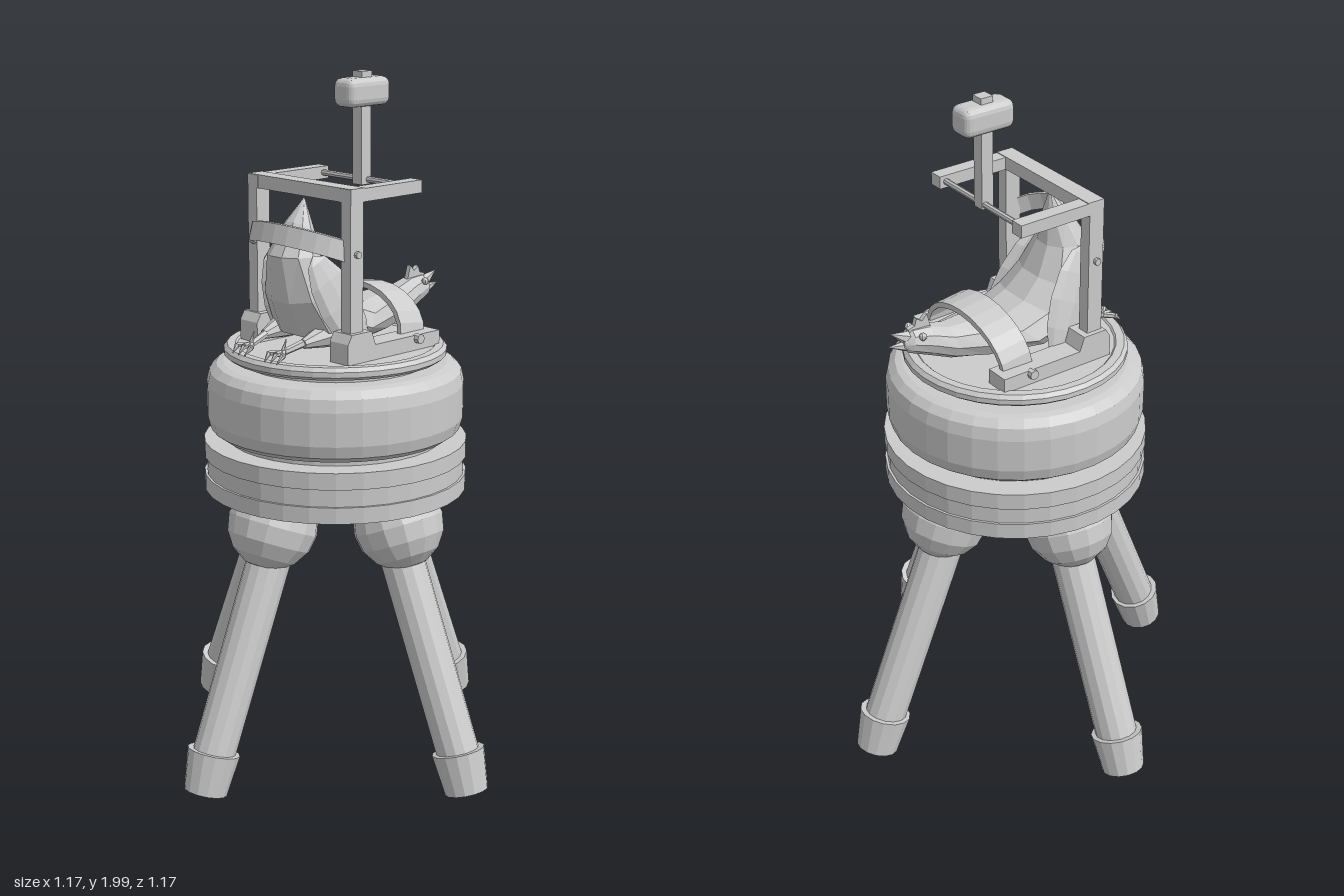
import * as THREE from 'three';
import { RoundedBoxGeometry } from 'three/addons/geometries/RoundedBoxGeometry.js';

const mat = new THREE.MeshStandardMaterial({ color: 0xcccccc, flatShading: true });
const matBoth = new THREE.MeshStandardMaterial({ color: 0xcccccc, flatShading: true, side: THREE.DoubleSide });
const V = (x, y, z) => new THREE.Vector3(x, y, z);

function add(parent, name, geometry, pos = [0, 0, 0], material = mat) {
  const m = new THREE.Mesh(geometry, material);
  m.name = name;
  m.position.set(...pos);
  parent.add(m);
  return m;
}

// Box given by its min and max corners
function box(parent, name, a, b) {
  return add(parent, name, new THREE.BoxGeometry(b[0] - a[0], b[1] - a[1], b[2] - a[2]),
    a.map((v, i) => (v + b[i]) / 2));
}

// Tapered round bar between two points
function bar(parent, name, a, b, ra, rb, sides = 8) {
  const dir = b.clone().sub(a);
  const m = add(parent, name, new THREE.CylinderGeometry(rb, ra, dir.length(), sides), a.clone().lerp(b, 0.5).toArray());
  m.quaternion.setFromUnitVectors(V(0, 1, 0), dir.normalize());
  return m;
}

// Skin over a list of equal-sized rings, with closed ends
function loft(rings) {
  const n = rings[0].length, pos = [], index = [];
  rings.forEach(r => r.forEach(p => pos.push(p.x, p.y, p.z)));
  for (let i = 0; i < rings.length - 1; i++)
    for (let j = 0; j < n; j++) {
      const a = i * n + j, b = i * n + (j + 1) % n;
      index.push(a, b, a + n, b, b + n, a + n);
    }
  const end = (rings.length - 1) * n;
  for (let j = 1; j < n - 1; j++) index.push(0, j + 1, j, end, end + j, end + j + 1);
  const g = new THREE.BufferGeometry();
  g.setAttribute('position', new THREE.Float32BufferAttribute(pos, 3));
  g.setIndex(index);
  g.computeVertexNormals();
  return g;
}

function lathe(parent, name, pts, sides) {
  return add(parent, name, new THREE.LatheGeometry(pts.map(p => new THREE.Vector2(...p)), sides));
}

function makeStool() {
  const g = new THREE.Group();
  g.name = 'stool';
  g.position.z = -0.014;
  g.rotation.y = 0.026;
  lathe(g, 'baseRings', [[0, 0.825], [0.378, 0.825], [0.378, 0.872], [0.371, 0.872], [0.371, 0.922],
    [0.378, 0.922], [0.378, 0.97], [0, 0.97]], 32);
  lathe(g, 'drum', [[0.31, 0.965], [0.31, 0.985], [0.335, 0.988], [0.358, 1.005], [0.368, 1.04], [0.368, 1.135],
    [0.36, 1.17], [0.34, 1.19], [0.32, 1.195], [0, 1.195]], 32);
  lathe(g, 'topPlate', [[0.27, 1.19], [0.27, 1.208], [0.305, 1.21], [0.318, 1.22], [0.318, 1.235],
    [0.308, 1.246], [0.285, 1.246], [0.28, 1.241], [0, 1.241]], 32);
  // Four splayed legs
  for (let i = 0; i < 4; i++) {
    const leg = new THREE.Group();
    leg.name = 'leg';
    leg.rotation.y = i * Math.PI / 2;
    g.add(leg);
    const ball = add(leg, 'legJoint', new THREE.SphereGeometry(0.13, 14, 8), [0, 0.757, 0.25]);
    ball.rotation.x = -0.4;
    bar(leg, 'legPole', V(0, 0.1, 0.502), V(0, 0.72, 0.241), 0.061, 0.063, 14);
    bar(leg, 'footCap', V(0, 0.024, 0.524), V(0, 0.138, 0.489), 0.062, 0.076, 14);
  }
  return g;
}

function makeFrame() {
  const g = new THREE.Group();
  g.name = 'frame';
  for (const s of [-1, 1]) {
    const sideBox = (name, x0, x1, y0, y1, z0, z1) =>
      box(g, name, [Math.min(s * x0, s * x1), y0, z0], [Math.max(s * x0, s * x1), y1, z1]);
    sideBox('post', 0.17, 0.207, 1.25, 1.69, 0.08, 0.128);
    sideBox('topArm', 0.165, 0.207, 1.68, 1.716, -0.145, 0.128);
    // Stepped foot rail under each post
    const shape = new THREE.Shape([[-0.21, 1.242], [0.15, 1.242], [0.15, 1.30], [0.135, 1.325], [0.06, 1.325],
      [0.045, 1.285], [-0.21, 1.285]].map(p => new THREE.Vector2(...p)));
    const rail = add(g, 'footRail', new THREE.ExtrudeGeometry(shape, { depth: 0.072, bevelEnabled: false }),
      [s * 0.185 + 0.036, 0, 0]);
    rail.rotation.y = -Math.PI / 2;
    rail.position.x = s * 0.185 + 0.036;
    // Strap bolts
    bar(g, 'bolt', V(s * 0.2, 1.54, 0.105), V(s * 0.217, 1.54, 0.105), 0.01, 0.01);
    bar(g, 'bolt', V(s * 0.215, 1.275, -0.12), V(s * 0.236, 1.275, -0.12), 0.014, 0.014);
  }
  box(g, 'frontCrossbar', [-0.207, 1.68, 0.075], [0.207, 1.718, 0.127]);
  bar(g, 'hingeRod', V(-0.19, 1.698, -0.125), V(0.19, 1.698, -0.125), 0.009, 0.009);
  // Mallet standing on the hinge rod
  box(g, 'malletHandle', [-0.018, 1.685, -0.135], [0.018, 1.91, -0.098]);
  add(g, 'malletHead', new RoundedBoxGeometry(0.08, 0.08, 0.16, 2, 0.022), [0, 1.943, -0.117]);
  box(g, 'malletCap', [-0.019, 1.97, -0.136], [0.019, 2.0, -0.098]);

  // Straps: bands swept over an arc
  const upper = [], lower = [];
  for (let i = 0; i <= 12; i++) {
    const t = Math.PI * i / 12, c = Math.cos(t), s = Math.sin(t);
    const ring = (x, y, z, dx, dy, dz, ex, ey, ez) => [[1, 1], [1, -1], [-1, -1], [-1, 1]].map(([a, b]) =>
      V(x + a * dx + b * ex, y + a * dy + b * ey, z + a * dz + b * ez));
    upper.push(ring(0.182 * c, 1.54 + 0.045 * s, 0.1 + 0.112 * s, 0, 0.026, -0.008, 0.004 * c, 0, 0.006));
    lower.push(ring(0.178 * c, 1.275 + 0.12 * s, -0.138 - 0.014 * s, 0, -0.006, -0.047, 0.007 * c, 0.007 * s + 0.001, 0));
  }
  add(g, 'tailStrap', loft(upper), [0, 0, 0], matBoth);
  add(g, 'neckStrap', loft(lower), [0, 0, 0], matBoth);
  return g;
}

function makeBird() {
  const g = new THREE.Group();
  g.name = 'bird';
  // Cross-sections from tail to head: back z, y; belly z, y; half width
  const sections = [
    [0.103, 1.67, 0.107, 1.668, 0.003], [0.085, 1.58, 0.16, 1.61, 0.045], [0.075, 1.52, 0.215, 1.52, 0.078],
    [0.035, 1.44, 0.2, 1.39, 0.118], [-0.02, 1.388, 0.155, 1.29, 0.142], [-0.09, 1.36, 0.03, 1.25, 0.135],
    [-0.17, 1.372, -0.15, 1.25, 0.088], [-0.25, 1.372, -0.245, 1.27, 0.062], [-0.31, 1.39, -0.31, 1.298, 0.048],
    [-0.36, 1.392, -0.375, 1.325, 0.033], [-0.388, 1.37, -0.39, 1.342, 0.014]];
  const rings = sections.map(([tz, ty, bz, by, w]) => Array.from({ length: 10 }, (_, i) => {
    const a = Math.PI * 2 * i / 10, k = Math.sin(a) / 2;
    return V(Math.cos(a) * w, (ty + by) / 2 + k * (ty - by), (tz + bz) / 2 + k * (tz - bz));
  }));
  add(g, 'body', loft(rings), [0, 0, 0], matBoth);

  // Open beak and comb
  bar(g, 'upperBeak', V(0, 1.37, -0.375), V(0, 1.395, -0.425), 0.019, 0.001, 6);
  bar(g, 'lowerBeak', V(0, 1.345, -0.375), V(0, 1.358, -0.433), 0.017, 0.001, 6);
  const comb = new THREE.Shape([[0.3, 1.38], [0.312, 1.425], [0.328, 1.408], [0.345, 1.42], [0.352, 1.4],
    [0.372, 1.395], [0.365, 1.375]].map(p => new THREE.Vector2(...p)));
  add(g, 'comb', new THREE.ExtrudeGeometry(comb, { depth: 0.014, bevelEnabled: false }), [-0.007, 0, 0])
    .rotation.y = Math.PI / 2;

  for (const s of [-1, 1]) {
    add(g, 'eye', new THREE.SphereGeometry(0.011, 8, 6), [s * 0.036, 1.378, -0.345]);
    // Folded wing
    const wing = add(g, 'wing', new THREE.SphereGeometry(1, 8, 6), [s * 0.118, 1.385, 0.085]);
    wing.scale.set(0.022, 0.16, 0.07);
    wing.rotation.set(0.45, 0, s * 0.2);
    // Leg and clawed foot
    bar(g, 'thigh', V(s * 0.085, 1.3, 0.1), V(s * 0.08, 1.285, 0.185), 0.038, 0.014, 8);
    bar(g, 'shank', V(s * 0.08, 1.29, 0.17), V(s * 0.066, 1.268, 0.25), 0.012, 0.009, 6);
    for (const dx of [-0.028, 0, 0.028]) {
      const mid = V(s * 0.066 + dx, 1.268, 0.272);
      bar(g, 'toe', V(s * 0.066, 1.268, 0.246), mid, 0.009, 0.008, 6);
      bar(g, 'claw', mid, V(s * 0.066 + dx * 0.85, 1.247, 0.294), 0.008, 0.001, 6);
    }
    bar(g, 'backClaw', V(s * 0.066, 1.268, 0.248), V(s * 0.066, 1.305, 0.235), 0.008, 0.001, 6);
  }
  return g;
}

export function createModel() {
  const model = new THREE.Group();
  model.name = 'birdOnStool';
  model.add(makeStool(), makeFrame(), makeBird());
  return model;
}
